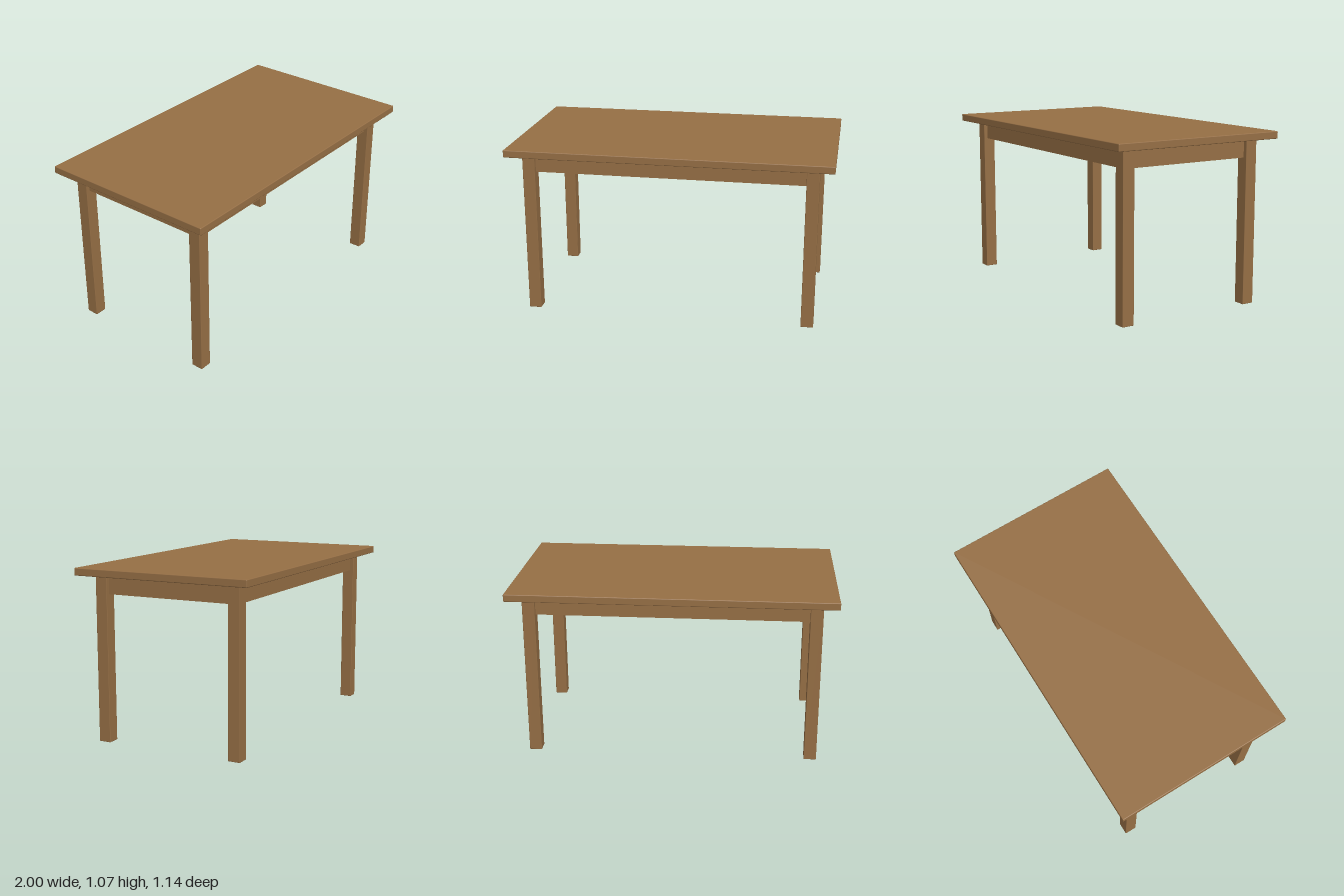
import * as THREE from 'three';
import { RoundedBoxGeometry } from 'three/addons/geometries/RoundedBoxGeometry.js';

export function createModel() {
  const table = new THREE.Group();
  table.name = 'table';
  const wood = new THREE.MeshStandardMaterial({ color: 0x966f45 });
  wood.name = 'brown wood';

  const add = (name, geometry, x, y, z) => {
    const mesh = new THREE.Mesh(geometry, wood);
    mesh.name = name;
    mesh.position.set(x, y, z);
    table.add(mesh);
  };

  const height = 1.07, topThickness = 0.046;
  const underside = height - topThickness;
  const legWidth = 0.077, legX = 0.871, legZ = 0.443;
  const apronHeight = 0.115, apronThickness = 0.027;
  const apronY = underside - apronHeight / 2;

  // Tabletop with slightly softened edges
  add('tabletop', new RoundedBoxGeometry(2, topThickness, 1.14, 2, 0.005), 0, height - topThickness / 2, 0);

  // Square legs
  const leg = new RoundedBoxGeometry(legWidth, underside, legWidth, 2, 0.003);
  for (const [side, sx] of [['Left', 1], ['Right', -1]]) {
    for (const [end, sz] of [['front', 1], ['back', -1]]) {
      add(`${end}${side}Leg`, leg, sx * legX, underside / 2, sz * legZ);
    }
  }

  // Apron rails centred on the legs and running between them
  const longRail = new THREE.BoxGeometry(2 * legX - legWidth, apronHeight, apronThickness);
  const shortRail = new THREE.BoxGeometry(apronThickness, apronHeight, 2 * legZ - legWidth);
  add('frontApron', longRail, 0, apronY, legZ);
  add('backApron', longRail, 0, apronY, -legZ);
  add('leftApron', shortRail, legX, apronY, 0);
  add('rightApron', shortRail, -legX, apronY, 0);

  return table;
}
